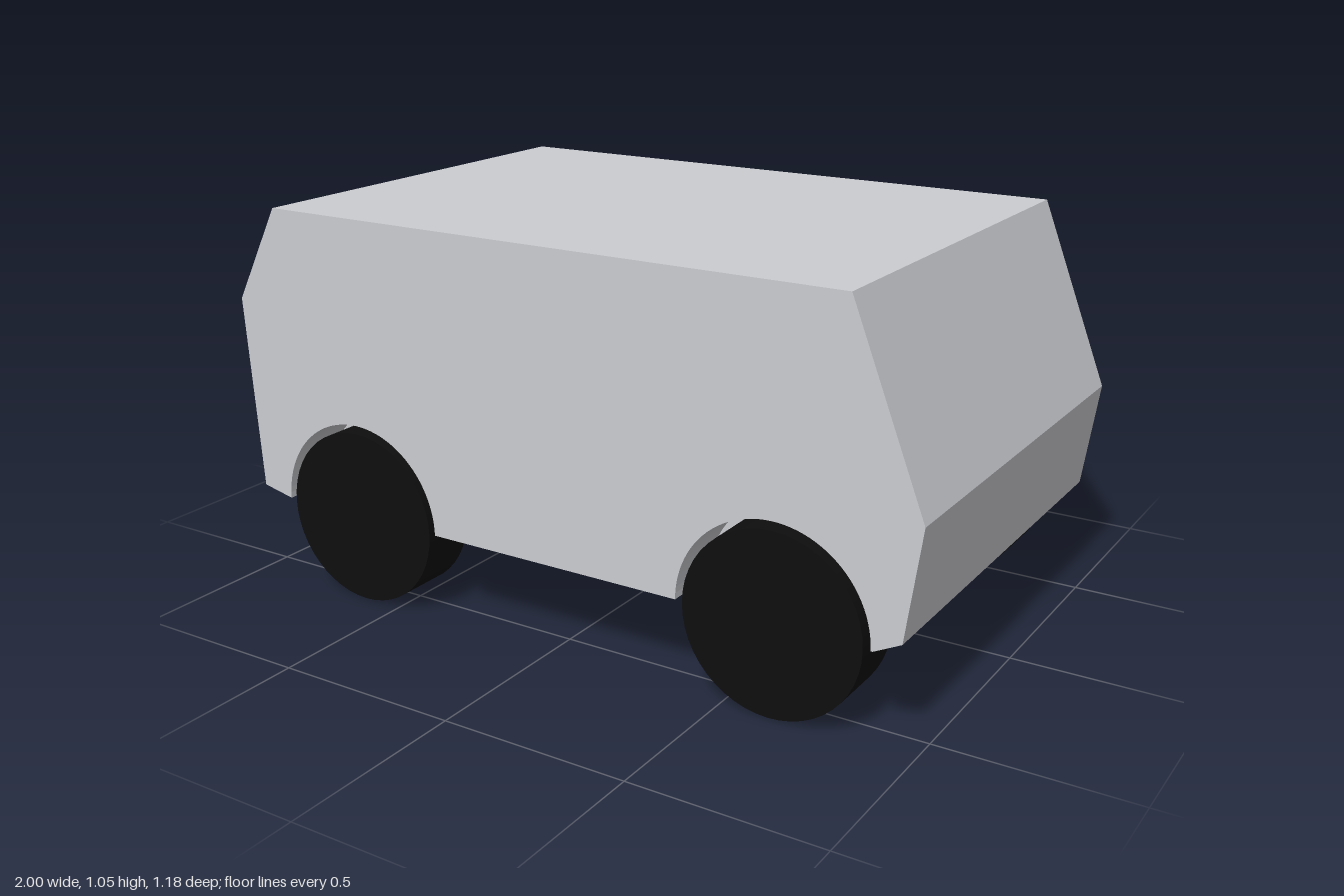
import * as THREE from 'three';

const HALF = 0.59;      // half width of the van
const WELL = 0.433;     // inner wall of the wheel wells
const FLOOR = 0.24;
const AXLES = [0.63, -0.615];
const ARCH_R = 0.255, WHEEL_R = 0.236;

// Side profile of the body, with or without wheel arches cut into the sill
function bodyProfile(withArches) {
  const s = new THREE.Shape();
  s.moveTo(-0.86, 1.05);
  s.lineTo(-1, 0.79);
  s.lineTo(-0.965, 0.26);
  s.lineTo(-0.87, FLOOR);
  if (withArches) {
    for (const x of [...AXLES].reverse()) {
      s.lineTo(x - ARCH_R, FLOOR);
      s.absarc(x, FLOOR, ARCH_R, Math.PI, 0, true);
    }
  }
  s.lineTo(0.89, FLOOR);
  s.lineTo(0.96, 0.275);
  s.lineTo(1, 0.56);
  s.lineTo(0.81, 1.05);
  s.closePath();
  return s;
}

export function createModel() {
  const group = new THREE.Group();
  const paint = new THREE.MeshStandardMaterial({ color: 0xcbccd1 });
  paint.name = 'light grey paint';
  const rubber = new THREE.MeshStandardMaterial({ color: 0x0e0e0e });
  rubber.name = 'black rubber';

  const addSlab = (name, withArches, z0, z1) => {
    const geo = new THREE.ExtrudeGeometry(bodyProfile(withArches), {
      depth: z1 - z0, bevelEnabled: false, curveSegments: 24,
    });
    geo.translate(0, 0, z0);
    const mesh = new THREE.Mesh(geo, paint);
    mesh.name = name;
    group.add(mesh);
  };

  // Body: solid middle between the wells, arched sides outside them
  addSlab('bodyCentre', false, -WELL, WELL);
  addSlab('bodyLeftSide', true, WELL, HALF);
  addSlab('bodyRightSide', true, -HALF, -WELL);

  // Wheels, flush with the body sides
  const width = HALF - WELL - 0.002;
  const wheelGeo = new THREE.CylinderGeometry(WHEEL_R, WHEEL_R, width, 48).rotateX(Math.PI / 2);
  AXLES.forEach((x, i) => {
    for (const side of [1, -1]) {
      const wheel = new THREE.Mesh(wheelGeo, rubber);
      wheel.name = (i === 0 ? 'front' : 'rear') + 'Wheel' + (side > 0 ? 'A' : 'B');
      wheel.position.set(x, WHEEL_R, side * (HALF - width / 2));
      group.add(wheel);
    }
  });

  return group;
}
